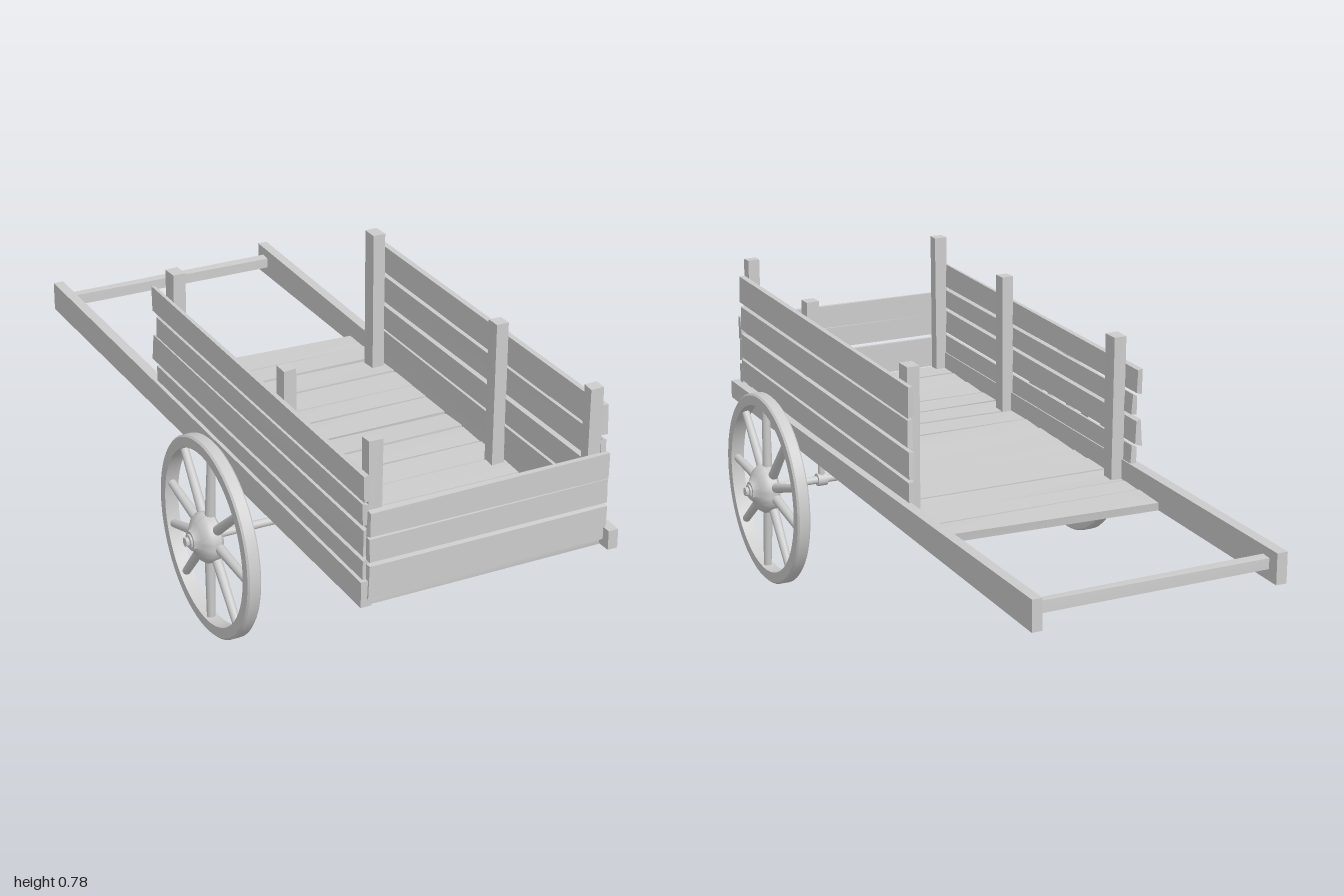
import * as THREE from 'three';
import { toCreasedNormals } from 'three/addons/utils/BufferGeometryUtils.js';

export function createModel() {
  const cart = new THREE.Group();
  cart.name = 'handCart';
  const wood = new THREE.MeshStandardMaterial({ color: 0xcccccc });

  let seed = 7;
  const rand = () => {
    seed = (seed * 16807) % 2147483647;
    return seed / 2147483647 - 0.5;
  };

  const add = (name, geometry, parent = cart) => {
    const mesh = new THREE.Mesh(geometry, wood);
    mesh.name = name;
    parent.add(mesh);
    return mesh;
  };

  // Hand-cut timber between two corners, its corners shifted a little at random
  const timber = (name, x0, x1, y0, y1, z0, z1, rough = [0, 0, 0], parent = cart) => {
    const g = new THREE.BoxGeometry(x1 - x0, y1 - y0, z1 - z0);
    g.translate((x0 + x1) / 2, (y0 + y1) / 2, (z0 + z1) / 2);
    const p = g.attributes.position;
    const shifts = {};
    for (let i = 0; i < p.count; i++) {
      const v = [p.getX(i), p.getY(i), p.getZ(i)];
      const key = v.map((n) => n.toFixed(4)).join();
      shifts[key] ??= rough.map((r) => rand() * r);
      p.setXYZ(i, ...v.map((n, k) => n + shifts[key][k]));
    }
    g.computeVertexNormals();
    return add(name, g, parent);
  };

  // Long shafts, deeper towards the handle
  const shaft = (name, x0, x1, z1, top) => {
    const mesh = timber(name, x0, x1, 0.34, top, -1, z1);
    const p = mesh.geometry.attributes.position;
    for (let i = 0; i < p.count; i++) {
      if (p.getZ(i) < 0) p.setY(i, p.getY(i) > 0.37 ? 0.42 : 0.335);
    }
    mesh.geometry.computeVertexNormals();
  };
  shaft('leftShaft', 0.322, 0.35, 1, 0.393);
  shaft('rightShaft', -0.36, -0.33, 0.97, 0.41);
  timber('handleBar', -0.335, 0.325, 0.365, 0.395, -0.965, -0.935, [0, 0.005, 0.005]);

  // Floor boards
  const floor = new THREE.Group();
  floor.name = 'floor';
  cart.add(floor);
  const seams = [-0.395, -0.3, -0.22, -0.11, -0.01, 0.07, 0.18, 0.275, 0.37, 0.47, 0.57, 0.66, 0.77, 0.87, 0.965];
  for (let i = 0; i < seams.length - 1; i++) {
    const board = timber('floorBoard', -0.335, 0.325, 0.338, 0.358,
      seams[i] + 0.003, seams[i + 1] - 0.003, [0, 0.006, 0.008], floor);
    if (i === 0) { // skewed end board
      const p = board.geometry.attributes.position;
      for (let k = 0; k < p.count; k++) {
        if (p.getZ(k) < -0.35) p.setZ(k, p.getX(k) < 0 ? -0.412 : -0.382);
      }
    }
  }

  // Front boards
  for (const [y0, y1] of [[0.36, 0.453], [0.462, 0.525], [0.53, 0.597]]) {
    timber('frontBoard', -0.34, 0.328, y0, y1, 0.96, 0.975, [0.006, 0.006, 0]);
  }

  // Side boards: left [bottom, top, back end], then right
  const leftBoards = [[0.4, 0.465, -0.25], [0.475, 0.55, -0.25], [0.56, 0.633, -0.245], [0.644, 0.725, -0.25]];
  const rightBoards = [[0.405, 0.465, -0.25], [0.475, 0.545, -0.275], [0.553, 0.612, -0.25], [0.62, 0.69, -0.275]];
  for (const [y0, y1, z0] of leftBoards) {
    timber('leftSideBoard', 0.312, 0.328, y0, y1, z0, 0.96, [0.004, 0.008, 0.008]);
  }
  for (const [y0, y1, z0] of rightBoards) {
    timber('rightSideBoard', -0.35, -0.335, y0, y1, z0, 0.96, [0.004, 0.008, 0.008]);
  }

  // Stakes holding the side boards
  for (const [z, w, top] of [[0.943, 0.032, 0.778], [0.488, 0.04, 0.766], [-0.183, 0.048, 0.766]]) {
    timber('leftStake', 0.276, 0.312, 0.35, top, z - w / 2, z + w / 2, [0.004, 0.002, 0.004]);
    timber('rightStake', -0.336, -0.3, 0.35, top, z - w / 2, z + w / 2, [0.004, 0.002, 0.004]);
  }

  // Axle and its hangers
  const axleY = 0.272, axleZ = 0.375;
  const axle = add('axle', new THREE.CylinderGeometry(0.011, 0.011, 1.08, 20));
  axle.rotation.z = Math.PI / 2;
  axle.position.set(0, axleY, axleZ);
  for (const x of [-0.24, 0.318]) {
    const rod = add('axleHanger', new THREE.CylinderGeometry(0.009, 0.009, 0.07, 14));
    rod.position.set(x, 0.31, axleZ);
    const collar = add('axleCollar', new THREE.CylinderGeometry(0.018, 0.018, 0.028, 20));
    collar.rotation.z = Math.PI / 2;
    collar.position.set(x, axleY, axleZ);
  }

  // Lathe around the wheel axis with crisp profile corners
  const turned = (points, segments = 48) => toCreasedNormals(
    new THREE.LatheGeometry(points.map(([r, y]) => new THREE.Vector2(r, y)), segments), 0.6);

  const spokeAngles = [90, 50, 18, -11, -52, -95, -140, 176, 132];
  const makeWheel = (name) => {
    const wheel = new THREE.Group();
    wheel.name = name;
    add('rim', turned([[0.238, -0.019], [0.266, -0.019], [0.271, -0.014], [0.271, 0.014],
      [0.266, 0.019], [0.238, 0.019], [0.238, -0.019]], 64), wheel);
    add('hub', turned([[0, -0.018], [0.05, -0.018], [0.068, -0.005], [0.068, 0.018], [0.06, 0.03],
      [0.045, 0.04], [0.03, 0.048], [0.026, 0.055], [0, 0.055]]), wheel);
    add('axleNut', turned([[0.019, 0.05], [0.019, 0.06], [0.012, 0.061], [0.012, 0.07], [0, 0.07]], 24), wheel);
    for (const degrees of spokeAngles) {
      const g = new THREE.CylinderGeometry(0.011, 0.014, 0.2, 12);
      g.translate(0, 0.145, 0);
      // lay the spoke in the wheel's xz plane
      g.rotateX(Math.PI / 2);
      g.rotateY(THREE.MathUtils.degToRad(degrees + 180));
      add('spoke', g, wheel);
    }
    return wheel;
  };

  // Wheels, hubs facing outward
  for (const side of [1, -1]) {
    const wheel = makeWheel(side > 0 ? 'leftWheel' : 'rightWheel');
    wheel.rotation.z = -side * Math.PI / 2;
    wheel.position.set(side > 0 ? 0.48 : -0.485, 0.271, axleZ);
    cart.add(wheel);
  }

  return cart;
}
